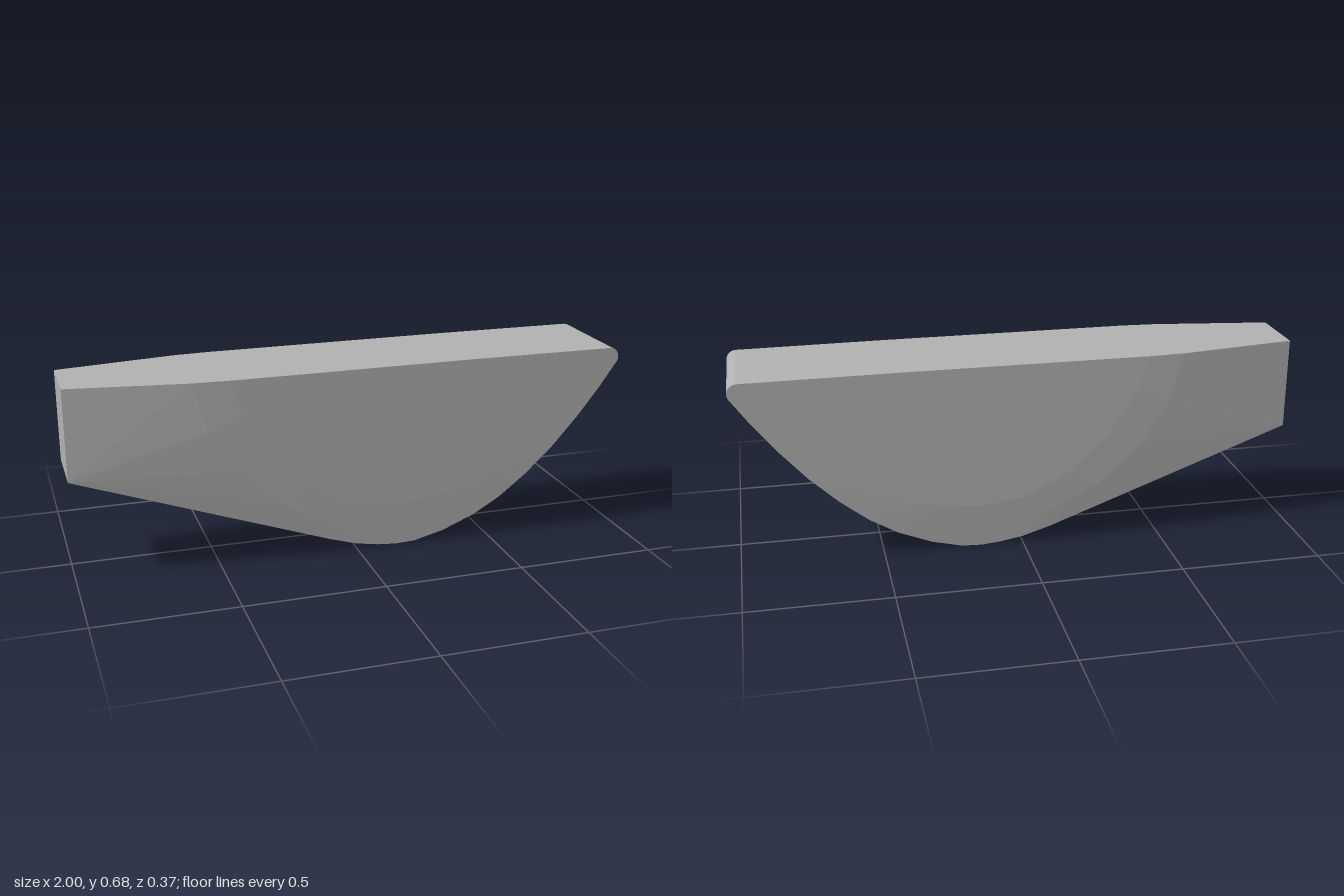
import * as THREE from 'three';
import { ConvexGeometry } from 'three/addons/geometries/ConvexGeometry.js';

export function createModel() {
  const group = new THREE.Group();
  group.name = 'taperedHalfMoonBlock';
  const grey = new THREE.MeshStandardMaterial({ color: 0xb0b0b0 });
  grey.name = 'plainGrey';

  const points = [];
  // Each entry is x, y, half width; mirrored to front and back
  const addRing = (ring) => {
    for (const [x, y, w] of ring) {
      points.push(new THREE.Vector3(x, y, w), new THREE.Vector3(x, y, -w));
    }
  };

  // Outer outline: narrow square end, straight keel, then the curved belly
  addRing([
    [-1, 0.678, 0.117], [-1, 0.35, 0.117],
    [-0.1, 0.05, 0.174], [0, 0.02, 0.175], [0.08, 0.006, 0.175],
    [0.15, 0, 0.175], [0.22, 0.003, 0.175], [0.33, 0.03, 0.176],
    [0.45, 0.08, 0.179], [0.55, 0.14, 0.182], [0.65, 0.22, 0.185],
    [0.75, 0.315, 0.187], [0.85, 0.428, 0.187], [0.93, 0.53, 0.187],
    [0.43, 0.678, 0.187],
  ]);

  // Rounded upper tip
  const radius = 0.035;
  for (let i = 0; i <= 8; i++) {
    const a = THREE.MathUtils.lerp(-0.5, Math.PI / 2, i / 8);
    addRing([[1 - radius + radius * Math.cos(a), 0.64 + radius * Math.sin(a), 0.187]]);
  }

  // Edge of the flat cheeks
  addRing([
    [-0.45, 0.678, 0.187], [-0.41, 0.55, 0.187], [-0.31, 0.4, 0.187],
    [-0.17, 0.265, 0.187], [0, 0.18, 0.187], [0.15, 0.158, 0.187],
    [0.3, 0.175, 0.187], [0.5, 0.235, 0.187],
  ]);

  // Soft shoulder between the cheeks and the tapered end
  addRing([
    [-0.58, 0.678, 0.18], [-0.53, 0.5, 0.181], [-0.43, 0.35, 0.181],
    [-0.28, 0.21, 0.181], [-0.08, 0.11, 0.181],
  ]);

  const body = new THREE.Mesh(new ConvexGeometry(points), grey);
  body.name = 'body';
  group.add(body);
  return group;
}
